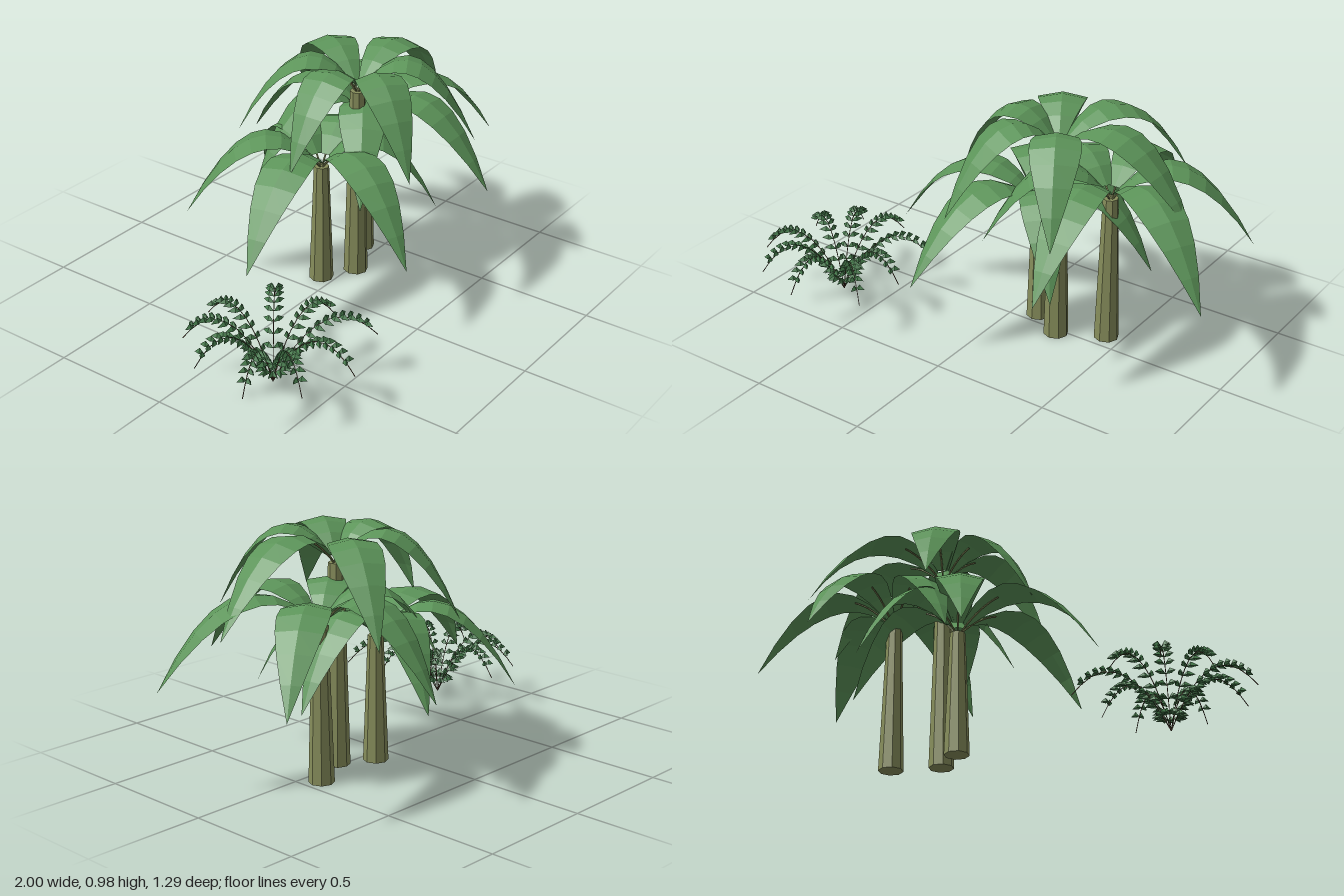
import * as THREE from 'three';
import { mergeGeometries } from 'three/addons/utils/BufferGeometryUtils.js';

const material = (name, color, side = THREE.FrontSide) => {
  const m = new THREE.MeshStandardMaterial({ color, flatShading: true, side });
  m.name = name;
  return m;
};

// Surface through rows of points; rows run along +x, columns along +z, front faces up
function surface(rows) {
  const n = rows[0].length, index = [];
  for (let i = 0; i < rows.length - 1; i++) {
    for (let j = 0; j < n - 1; j++) {
      const a = i * n + j, b = a + n;
      index.push(a, a + 1, b, b, a + 1, b + 1);
    }
  }
  const g = new THREE.BufferGeometry();
  g.setAttribute('position', new THREE.Float32BufferAttribute(rows.flat(2), 3));
  g.setIndex(index);
  g.computeVertexNormals();
  return g;
}

// Broad drooping leaf: a parabola along +x with a creased, lens-shaped blade
const leafRise = 0.737, leafFall = 0.937;
const leafY = t => leafRise * t - leafFall * t * t;
function leafGeometry(length) {
  const rows = [], steps = 8, start = 0.03 / length;
  for (let i = 0; i <= steps; i++) {
    const t = start + (1 - start) * i / steps;
    const half = 0.004 * (1 - t) + 0.098 * Math.pow(Math.max(0, Math.sin(Math.PI * t)), 0.9);
    const normal = new THREE.Vector2(-(leafRise - 2 * leafFall * t) / length, 1).normalize();
    const drop = 0.2 * half;
    rows.push([-1, 0, 1].map(s => [
      length * t - normal.x * drop * s * s, leafY(t) - normal.y * drop * s * s, half * s]));
  }
  return surface(rows);
}

// Thin tube following a parabola in the x-y plane
function stalkGeometry(length, heightAt, end, radius, sides) {
  const points = [];
  for (let i = 0; i <= 6; i++) {
    const t = end * i / 6;
    points.push(new THREE.Vector3(length * t, heightAt(t), 0));
  }
  return new THREE.TubeGeometry(new THREE.CatmullRomCurve3(points), 10, radius, sides);
}

// Each tree: position, trunk height, angle of its first leaf and the six leaf lengths
const trees = [
  { name: 'tallTree', x: 0.245, z: 0.02, height: 0.84, turn: 0, leaves: [0.605, 0.485, 0.485, 0.458, 0.495, 0.59] },
  { name: 'shortTree', x: 0.105, z: -0.06, height: 0.53, turn: -9, leaves: [0.495, 0.48, 0.617, 0.627, 0.56, 0.463] },
  { name: 'middleTree', x: 0.43, z: -0.075, height: 0.64, turn: 26.5, leaves: [0.64, 0.6, 0.505, 0.505, 0.567, 0.573] },
];

// Fern fronds: angle in degrees and length
const fronds = [[7, 0.34], [40, 0.41], [85, 0.36], [124, 0.345], [160, 0.345],
  [208, 0.315], [245, 0.35], [278, 0.36], [324, 0.38]];
const frondY = t => 0.816 * t - 0.666 * t * t;

// Small pointed leaflet along +x, folded to a raised peak
const leafletGeometry = length => surface([
  [[0, 0, -0.001], [0, 0, 0], [0, 0, 0.001]],
  [[length * 0.4, 0, -0.011], [length * 0.42, 0.02, 0], [length * 0.4, 0, 0.011]],
  [[length, 0, -0.0005], [length, 0, 0], [length, 0, 0.0005]],
]);

export function createModel() {
  const bark = material('olive bark', 0x868d5b);
  const leafGreen = material('leaf green', 0x5c9459, THREE.DoubleSide);
  const fernGreen = material('fern green', 0x467c4c, THREE.DoubleSide);
  const stemBrown = material('stem brown', 0x5c4836);
  const model = new THREE.Group();
  model.name = 'tropicalPlants';

  const add = (parent, name, geometry, mat) => {
    const mesh = new THREE.Mesh(geometry, mat);
    mesh.name = name;
    parent.add(mesh);
    return mesh;
  };

  // Trees with tapered trunks and a crown of six leaves
  for (const { name, x, z, height, turn, leaves } of trees) {
    const tree = new THREE.Group();
    tree.name = name;
    tree.position.set(x, 0, z);
    add(tree, 'trunk', new THREE.CylinderGeometry(0.032, 0.052, height, 8), bark).position.y = height / 2;
    leaves.forEach((length, i) => {
      const leaf = new THREE.Group();
      leaf.name = 'leaf';
      leaf.position.y = height;
      leaf.rotation.y = -THREE.MathUtils.degToRad(turn + i * 60);
      add(leaf, 'leafBlade', leafGeometry(length), leafGreen);
      add(leaf, 'leafStalk', stalkGeometry(length, leafY, 0.3, 0.004, 5), bark).position.y = -0.013;
      tree.add(leaf);
    });
    model.add(tree);
  }

  // Fern with arching fronds that carry paired leaflets
  const fern = new THREE.Group();
  fern.name = 'fern';
  fern.position.set(-0.67, 0.03, 0.285);
  for (const [angle, length] of fronds) {
    const frond = new THREE.Group();
    frond.name = 'frond';
    frond.rotation.y = -THREE.MathUtils.degToRad(angle);
    add(frond, 'frondStem', stalkGeometry(length, frondY, 1, 0.002, 3), stemBrown);
    const parts = [];
    for (let i = 0; i < 11; i++) {
      const t = 0.075 + i * 0.08;
      const size = 0.052 - 0.02 * Math.max(0, t - 0.5) * 2;
      for (const side of [-1, 1]) {
        parts.push(leafletGeometry(size).rotateY(side * 0.85).translate(length * t, frondY(t), 0));
      }
    }
    add(frond, 'leaflets', mergeGeometries(parts), fernGreen);
    fern.add(frond);
  }
  model.add(fern);
  return model;
}
